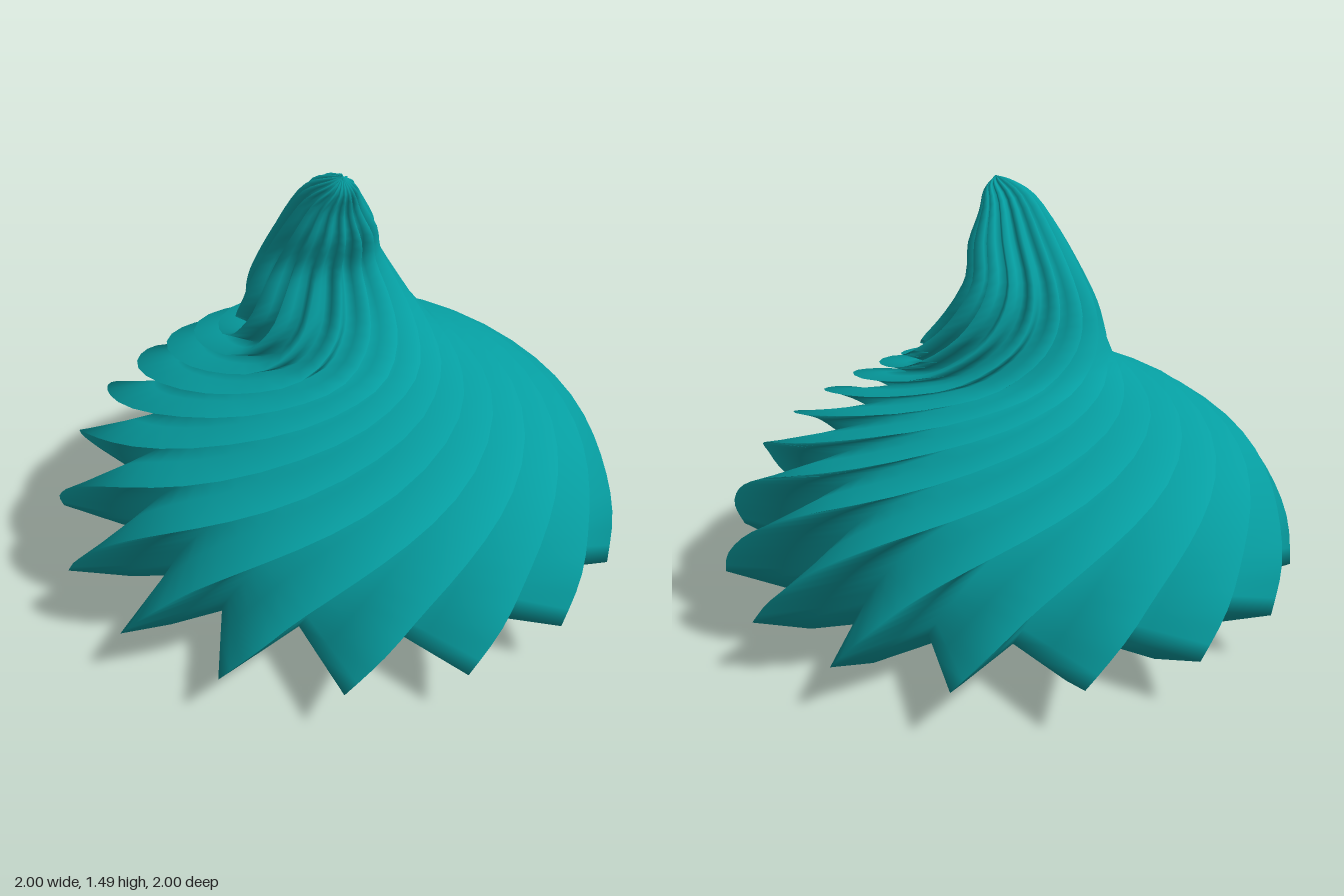
import * as THREE from 'three';

// Cross-section of one tooth: sharp ridge, flank, valley, flank (1 = ridge radius)
const TOOTH = [1, 0.82, 0.7, 0.82];
const TEETH = 16, N = TEETH * TOOTH.length;

// Ring rows: [ridge radius, height, twist in degrees, x offset, z offset, forward tilt in degrees]
const SWIRL = [
  [1.005, 0.17, -6, 0, 0, 0],
  [0.995, 0.30, 1, 0, 0, 0],
  [0.945, 0.43, 10, 0, 0, 0],
  [0.87, 0.55, 24, 0, 0, 0],
  [0.76, 0.65, 44, 0, 0, 0],
  [0.61, 0.75, 72, 0, 0, 0],
  [0.46, 0.82, 104, 0, 0, 0],
  [0.365, 0.88, 133, 0, -0.01, 0],
  [0.3, 0.98, 155, -0.01, -0.04, 0],
  [0.25, 1.08, 165, -0.02, -0.06, 0],
  [0.2, 1.18, 169, -0.025, -0.055, 2],
  [0.16, 1.295, 171, -0.03, 0, 9],
  [0.1, 1.4, 172, -0.04, 0.05, 25],
  [0.05, 1.455, 173, -0.04, 0.1, 32],
  [0, 1.488, 173, -0.04, 0.11, 32],
];
// Shallow underside, from its centre out to the rim
const BASE = [
  [0, 0, -6, 0, 0, 0],
  [0.62, 0.05, -6, 0, 0, 0],
  [0.8, 0.08, -6, 0, 0, 0],
];

// Smooth the rows with a spline, three columns at a time
function refine(rows, steps) {
  const curve = (c) => new THREE.CatmullRomCurve3(
    rows.map((r) => new THREE.Vector3(r[c], r[c + 1], r[c + 2])), false, 'catmullrom', 0.5);
  const a = curve(0), b = curve(3), count = (rows.length - 1) * steps;
  return Array.from({ length: count + 1 }, (_, i) => [
    ...a.getPoint(i / count).toArray(), ...b.getPoint(i / count).toArray()]);
}

// Skin a stack of star-shaped rings, listed from the bottom centre upwards
function skin(rows) {
  const pos = [], index = [];
  rows.forEach(([r, y, twist, cx, cz, tilt], i) => {
    const tiltRad = THREE.MathUtils.degToRad(tilt);
    for (let j = 0; j < N; j++) {
      const rad = r * TOOTH[j % TOOTH.length];
      const phi = (j / N) * Math.PI * 2 + THREE.MathUtils.degToRad(twist);
      const d = rad * Math.cos(phi);
      pos.push(cx + rad * Math.sin(phi), y - d * Math.sin(tiltRad), cz + d * Math.cos(tiltRad));
      if (i === 0) continue;
      const k = (j + 1) % N, lo = (i - 1) * N, hi = i * N;
      index.push(lo + j, lo + k, hi + k, lo + j, hi + k, hi + j);
    }
  });
  const geo = new THREE.BufferGeometry();
  geo.setAttribute('position', new THREE.Float32BufferAttribute(pos, 3));
  geo.setIndex(index);
  geo.computeVertexNormals();
  return geo;
}

export function createModel() {
  const group = new THREE.Group();
  group.name = 'creamSwirl';

  // Twisted, fluted body with a closed underside and a tip that bends forward
  const body = new THREE.Mesh(
    skin([...BASE, ...refine(SWIRL, 3)]),
    new THREE.MeshStandardMaterial({ color: 0x069fa2 }));
  body.name = 'swirlBody';
  group.add(body);
  return group;
}
